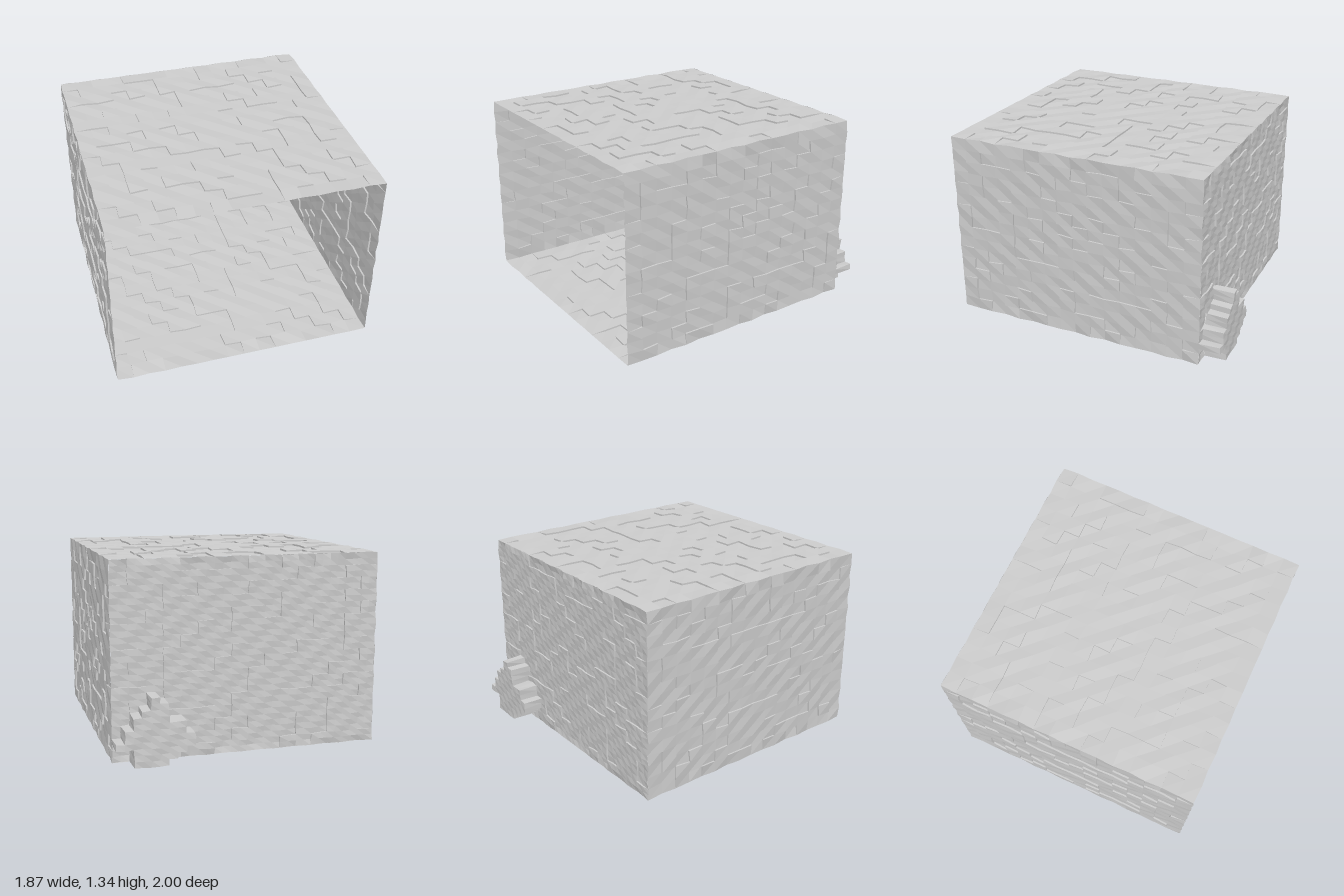
import * as THREE from 'three';

const X = 0.925, Y0 = 0.012, Y1 = 1.338, BACK = -0.845, FRONT = 0.994, NICHE = -0.995;

// repeatable pseudo-random value in 0..1
function hash(a, b, c) {
  const s = Math.sin(a * 127.1 + b * 311.7 + c * 74.7) * 43758.5453;
  return s - Math.floor(s);
}

// small wobble that depends only on position, so neighbouring walls stay joined
function wobble(p) {
  const { x, y, z } = p;
  p.x += 0.0035 * Math.sin(31 * y + 23 * z + 9 * x);
  p.y += 0.0035 * Math.sin(27 * x + 33 * z + 11 * y);
  p.z += 0.0035 * Math.sin(29 * x + 37 * y + 7 * z);
  return p;
}

function meshFrom(name, quads) {
  const pos = [];
  for (const [a, b, c, d] of quads)
    for (const p of [a, b, c, a, c, d]) pos.push(p.x, p.y, p.z);
  const g = new THREE.BufferGeometry();
  g.setAttribute('position', new THREE.Float32BufferAttribute(pos, 3));
  g.computeVertexNormals();
  const mesh = new THREE.Mesh(g, new THREE.MeshStandardMaterial({
    color: 0xcccccc, flatShading: true, side: THREE.DoubleSide,
  }));
  mesh.name = name;
  return mesh;
}

// wall of slightly raised and sunken stone blocks, with risers between the levels
function blockWall(name, origin, u, v, seed, n = 16, skip = () => false) {
  const normal = u.clone().cross(v).normalize();
  const step = n / 16;
  const level = (i, j) =>
    hash(Math.floor(i / step), Math.floor(j / step), seed) < 0.5 ? -0.006 : 0.006;
  const point = (i, j, h) => {
    const edge = i === 0 || j === 0 || i === n || j === n;
    const p = origin.clone().addScaledVector(u, i / n).addScaledVector(v, j / n);
    return wobble(p).addScaledVector(normal, edge ? 0 : h);
  };
  const quads = [];
  for (let i = 0; i < n; i++) {
    for (let j = 0; j < n; j++) {
      if (skip(i, j)) continue;
      const h = level(i, j);
      quads.push([point(i, j, h), point(i + 1, j, h), point(i + 1, j + 1, h), point(i, j + 1, h)]);
      if (i + 1 < n && !skip(i + 1, j)) {
        const k = level(i + 1, j);
        if (k !== h) quads.push([point(i + 1, j, h), point(i + 1, j, k), point(i + 1, j + 1, k), point(i + 1, j + 1, h)]);
      }
      if (j + 1 < n && !skip(i, j + 1)) {
        const k = level(i, j + 1);
        if (k !== h) quads.push([point(i + 1, j + 1, h), point(i + 1, j + 1, k), point(i, j + 1, k), point(i, j + 1, h)]);
      }
    }
  }
  return meshFrom(name, quads);
}

// stepped niche outline: first and last column for each row, on a 32 x 32 grid
const nicheRows = [
  [26, 30], [25, 30], [24, 30], [23, 32], [23, 31], [24, 31],
  [24, 30], [26, 30], [26, 29], [26, 28], [27, 28],
];
const inNiche = (i, j) => j >= 0 && j < nicheRows.length && i >= nicheRows[j][0] && i < nicheRows[j][1];

// recess behind the back wall: stepped sides closed by a flat end
function niche() {
  const at = (i, j, z) =>
    wobble(new THREE.Vector3(-X + (2 * X * i) / 32, Y0 + ((Y1 - Y0) * j) / 32, z));
  const sides = [], end = [];
  const side = (a, b, c, d) =>
    sides.push([at(a, b, BACK), at(c, d, BACK), at(c, d, NICHE), at(a, b, NICHE)]);
  nicheRows.forEach(([first, last], j) => {
    for (let i = first; i < last; i++) {
      end.push([at(i, j, NICHE), at(i, j + 1, NICHE), at(i + 1, j + 1, NICHE), at(i + 1, j, NICHE)]);
      if (!inNiche(i - 1, j)) side(i, j, i, j + 1);
      if (!inNiche(i + 1, j)) side(i + 1, j + 1, i + 1, j);
      if (!inNiche(i, j - 1)) side(i + 1, j, i, j);
      if (!inNiche(i, j + 1)) side(i, j + 1, i + 1, j + 1);
    }
  });
  const group = new THREE.Group();
  group.name = 'niche';
  group.add(meshFrom('nicheSides', sides), meshFrom('nicheEnd', end));
  return group;
}

export function createModel() {
  const V = (x, y, z) => new THREE.Vector3(x, y, z);
  const w = V(2 * X, 0, 0), h = V(0, Y1 - Y0, 0), d = V(0, 0, FRONT - BACK);
  const room = new THREE.Group();
  room.name = 'stoneRoom';
  // the front stays open
  room.add(
    blockWall('floor', V(-X, Y0, BACK), w, d, 1),
    blockWall('ceiling', V(-X, Y1, BACK), d, w, 2),
    blockWall('rightWall', V(-X, Y0, BACK), d, h, 3),
    blockWall('leftWall', V(X, Y0, BACK), h, d, 4),
    blockWall('backWall', V(-X, Y0, BACK), w, h, 5, 32, inNiche),
    niche(),
  );
  return room;
}
